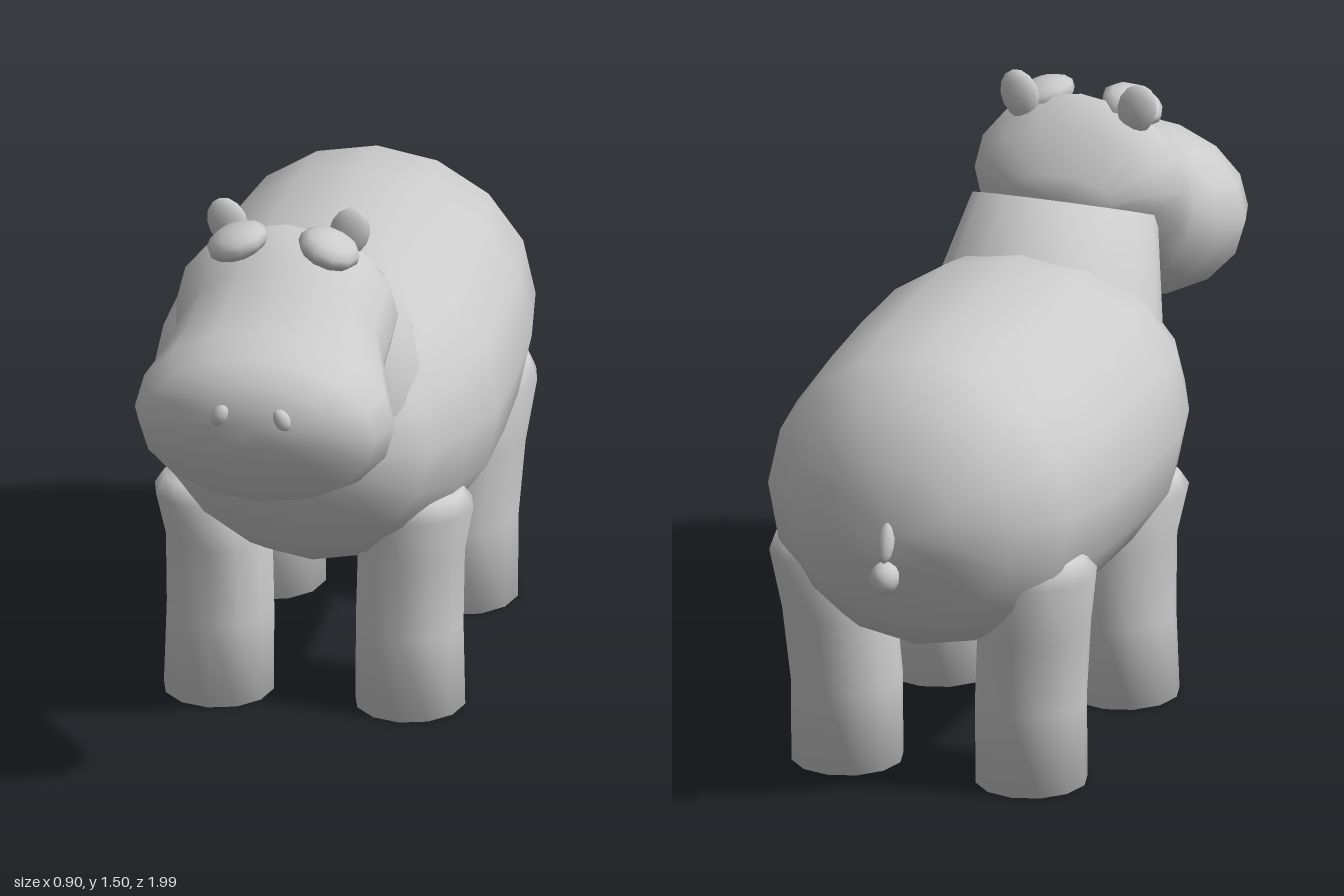
import * as THREE from 'three';
import { mergeVertices } from 'three/addons/utils/BufferGeometryUtils.js';

const grey = new THREE.MeshStandardMaterial({ color: 0xcccccc });
grey.name = 'grey hide';

// Smooth skin over elliptical rings. A ring is { c: centre, u, v: half axes };
// u x v points along the direction in which the rings advance.
function loft(rings, sides) {
  const pos = [], index = [];
  const p = new THREE.Vector3();
  rings.forEach(({ c, u, v }, i) => {
    for (let j = 0; j < sides; j++) {
      const a = (j / sides) * Math.PI * 2;
      p.copy(c).addScaledVector(u, Math.cos(a)).addScaledVector(v, Math.sin(a));
      pos.push(p.x, p.y, p.z);
      if (i === rings.length - 1) continue;
      const k = (j + 1) % sides;
      const a0 = i * sides + j, b0 = i * sides + k;
      index.push(a0, b0, a0 + sides, b0, b0 + sides, a0 + sides);
    }
  });
  const raw = new THREE.BufferGeometry();
  raw.setAttribute('position', new THREE.Float32BufferAttribute(pos, 3));
  raw.setIndex(index);
  const geo = mergeVertices(raw);
  geo.computeVertexNormals();
  return geo;
}

// Ring running forward: top point, bottom point (z, y) and half width
function section([zt, yt, zb, yb, w]) {
  return {
    c: new THREE.Vector3(0, (yt + yb) / 2, (zt + zb) / 2),
    u: new THREE.Vector3(w, 0, 0),
    v: new THREE.Vector3(0, (yt - yb) / 2, (zt - zb) / 2),
  };
}

// Ring running upward: back point, front point (z, y), half width, x centre
function collar([zb, yb, zf, yf, w, x = 0]) {
  return {
    c: new THREE.Vector3(x, (yb + yf) / 2, (zb + zf) / 2),
    u: new THREE.Vector3(0, (yf - yb) / 2, (zf - zb) / 2),
    v: new THREE.Vector3(w, 0, 0),
  };
}

export function createModel() {
  const model = new THREE.Group();
  model.name = 'hippo';

  function add(name, geo) {
    const mesh = new THREE.Mesh(geo, grey);
    mesh.name = name;
    model.add(mesh);
    return mesh;
  }
  function ellipsoid(name, position, scale, rotation = [0, 0, 0]) {
    const mesh = add(name, new THREE.SphereGeometry(1, 10, 7));
    mesh.position.set(...position);
    mesh.scale.set(...scale);
    mesh.rotation.set(...rotation);
  }

  // Barrel body, tail end to chest
  add('body', loft([
    [-0.945, 0.76, -0.945, 0.76, 0],
    [-0.905, 0.93, -0.92, 0.66, 0.17],
    [-0.825, 1.06, -0.835, 0.49, 0.31],
    [-0.69, 1.15, -0.72, 0.39, 0.405],
    [-0.5, 1.167, -0.45, 0.345, 0.44],
    [-0.25, 1.177, -0.25, 0.34, 0.45],
    [0, 1.18, 0, 0.34, 0.45],
    [0.17, 1.15, 0.17, 0.38, 0.41],
    [0.33, 1.06, 0.36, 0.49, 0.335],
    [0.44, 0.94, 0.45, 0.66, 0.2],
    [0.48, 0.8, 0.48, 0.8, 0],
  ].map(section), 16));

  // Neck collar, softly shaded over its flat top
  add('neck', loft([
    [-0.08, 1.01, 0.49, 0.76, 0.315],
    [0.15, 1.29, 0.61, 1.1, 0.235],
    [0.38, 1.195, 0.38, 1.195, 0],
  ].map(collar), 16));

  // Skull narrowing into a broad muzzle
  add('head', loft([
    [0.325, 1.22, 0.325, 1.22, 0],
    [0.345, 1.28, 0.35, 1.165, 0.14],
    [0.41, 1.385, 0.40, 1.10, 0.245],
    [0.50, 1.45, 0.49, 0.99, 0.285],
    [0.62, 1.385, 0.59, 0.895, 0.268],
    [0.72, 1.31, 0.68, 0.845, 0.305],
    [0.81, 1.285, 0.78, 0.813, 0.335],
    [0.91, 1.255, 0.88, 0.85, 0.305],
    [0.965, 1.21, 0.955, 0.96, 0.205],
    [0.985, 1.15, 0.985, 1.04, 0.1],
    [0.99, 1.1, 0.99, 1.1, 0],
  ].map(section), 16));

  // Leg rings: height, back z, front z, inner x, outer x
  const legs = {
    frontLeg: [
      [0, 0.14, 0.14, 0.25, 0.25],
      [0, -0.01, 0.285, 0.105, 0.388],
      [0.22, -0.015, 0.275, 0.105, 0.382],
      [0.42, -0.02, 0.275, 0.11, 0.385],
      [0.55, 0, 0.29, 0.15, 0.41],
      [0.59, 0.05, 0.25, 0.2, 0.385],
      [0.605, 0.16, 0.16, 0.3, 0.3],
    ],
    backLeg: [
      [0, -0.55, -0.55, 0.25, 0.25],
      [0, -0.70, -0.40, 0.105, 0.39],
      [0.22, -0.705, -0.405, 0.105, 0.39],
      [0.42, -0.735, -0.41, 0.12, 0.405],
      [0.58, -0.76, -0.435, 0.15, 0.43],
      [0.635, -0.71, -0.52, 0.21, 0.405],
      [0.65, -0.625, -0.625, 0.3, 0.3],
    ],
  };

  for (const side of [1, -1]) {
    const label = side > 0 ? 'Left' : 'Right';
    for (const [name, rows] of Object.entries(legs)) {
      const rings = rows.map(([y, zb, zf, xi, xo]) =>
        collar([zb, y, zf, y, (xo - xi) / 2, side * (xi + xo) / 2]));
      add(name + label, loft(rings, 12));
    }
    // Eyes slope down outward, ears lean out, nostrils lean in
    ellipsoid('eye' + label, [side * 0.118, 1.417, 0.553], [0.082, 0.044, 0.082], [0, 0, -side * 0.35]);
    ellipsoid('ear' + label, [side * 0.157, 1.435, 0.48], [0.052, 0.068, 0.026], [0, 0, -side * 0.3]);
    ellipsoid('nostril' + label, [side * 0.08, 1.125, 0.98], [0.022, 0.031, 0.02], [0, 0, side * 0.5]);
  }

  // Short tail and its round tuft
  ellipsoid('tail', [0, 0.742, -0.945], [0.022, 0.055, 0.024], [0.36, 0, 0]);
  ellipsoid('tailTuft', [0, 0.65, -0.957], [0.038, 0.042, 0.042]);

  return model;
}
